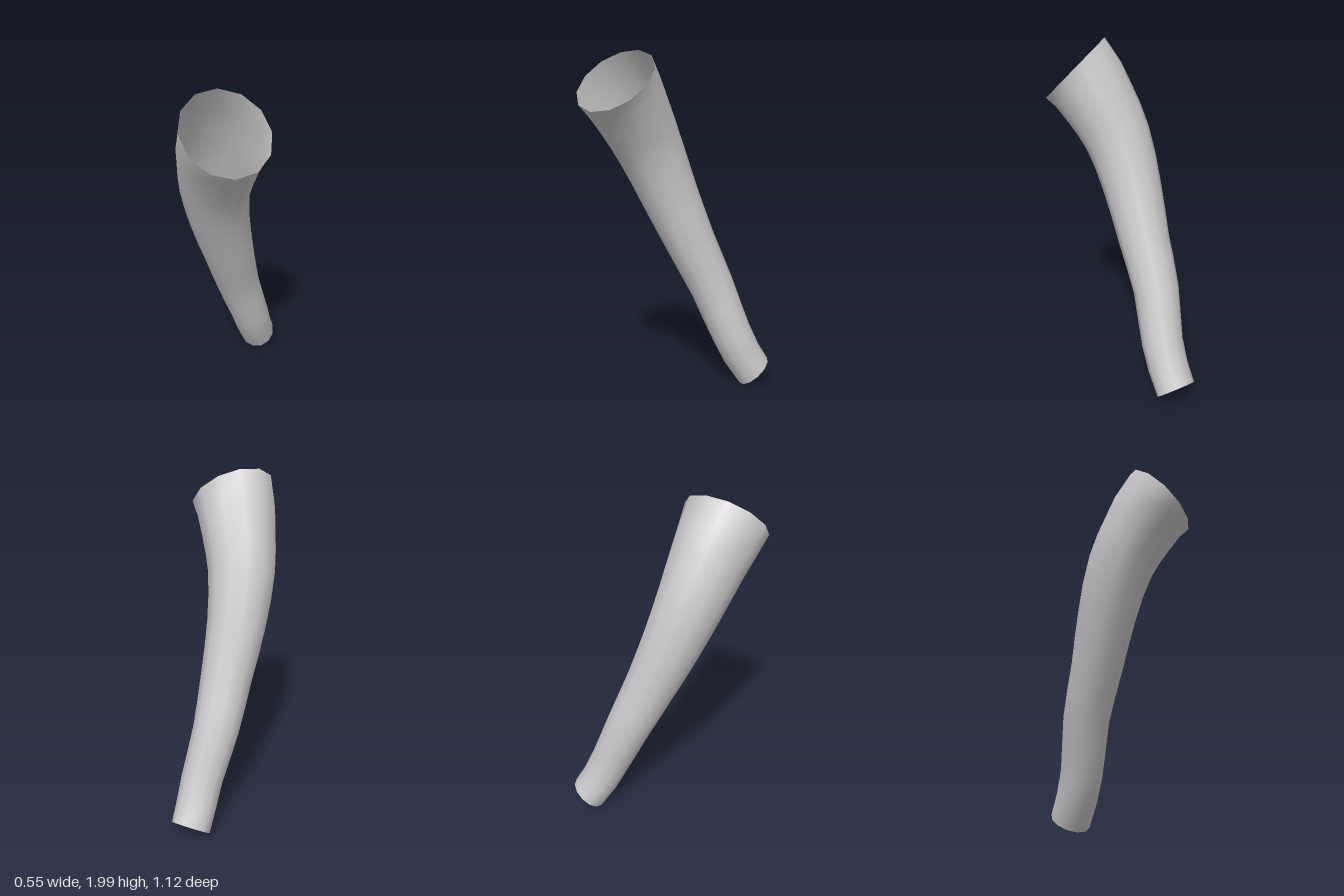
import * as THREE from 'three';

const SIDES = 12, ROWS = 14;

// Centreline of the sleeve; the first and last points only steer the end directions
const path = [
  [-0.045, -0.1, -0.71],
  [-0.045, 0.077, -0.475], [-0.05, 0.325, -0.335], [-0.087, 0.61, -0.22], [-0.092, 0.885, -0.09],
  [-0.097, 1.17, 0.035], [-0.075, 1.44, 0.15], [-0.015, 1.635, 0.245], [0.075, 1.827, 0.355],
  [0.235, 1.967, 0.465],
].map((p) => new THREE.Vector3(...p));

// Radius at each inner path point
const radii = [0.115, 0.121, 0.133, 0.148, 0.169, 0.192, 0.213, 0.24];

// Open tube with a changing radius, swept along the centreline
function sweptTube() {
  const curve = new THREE.CatmullRomCurve3(path);
  const spans = radii.length - 1, positions = [], index = [];
  for (let i = 0; i <= ROWS; i++) {
    const s = (i / ROWS) * spans;
    const k = Math.min(Math.floor(s), spans - 1);
    const r = THREE.MathUtils.lerp(radii[k], radii[k + 1], s - k);
    const u = (s + 1) / (path.length - 1);
    const centre = curve.getPoint(u), dir = curve.getTangent(u);
    const side = new THREE.Vector3(1, 0, 0).addScaledVector(dir, -dir.x).normalize();
    const fwd = side.clone().cross(dir);
    for (let j = 0; j < SIDES; j++) {
      const a = (j / SIDES) * Math.PI * 2;
      const v = centre.clone().addScaledVector(side, r * Math.cos(a)).addScaledVector(fwd, r * Math.sin(a));
      positions.push(v.x, v.y, v.z);
      if (i < ROWS) {
        const p = i * SIDES + j, q = i * SIDES + ((j + 1) % SIDES);
        index.push(p, p + SIDES, q, q, p + SIDES, q + SIDES);
      }
    }
  }
  const geo = new THREE.BufferGeometry();
  geo.setAttribute('position', new THREE.Float32BufferAttribute(positions, 3));
  geo.setIndex(index);
  geo.computeVertexNormals();
  return geo;
}

export function createModel() {
  const group = new THREE.Group();
  const material = new THREE.MeshStandardMaterial({ color: 0xcccccc, side: THREE.DoubleSide });
  const sleeve = new THREE.Mesh(sweptTube(), material);
  sleeve.name = 'sleeve';
  group.add(sleeve);
  return group;
}
